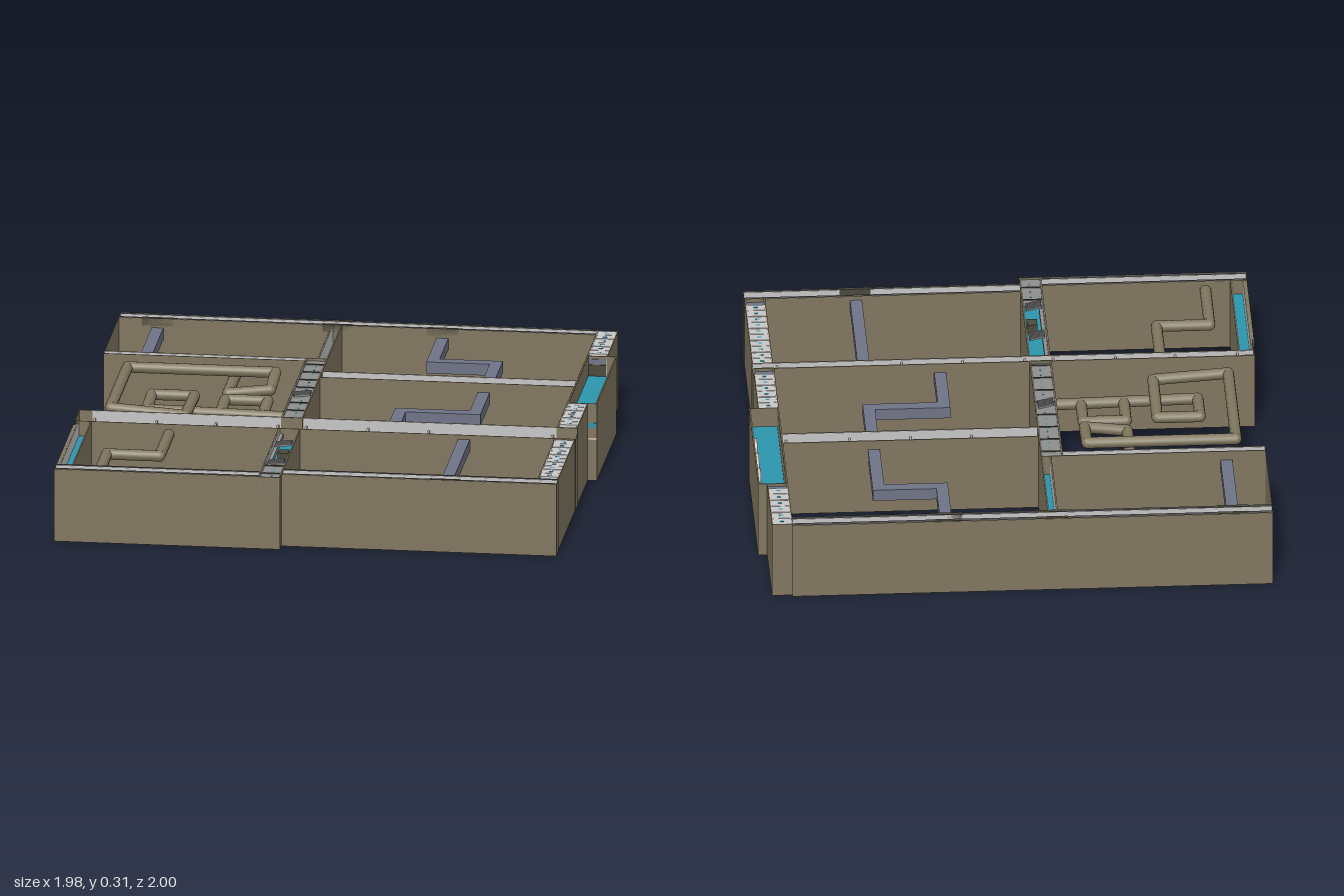
import * as THREE from 'three';

const mat = (name, color) => Object.assign(new THREE.MeshStandardMaterial({ color }), { name });

export function createModel() {
  const olive = mat('olive wall', 0x80775f);
  const dark = mat('dark trim', 0x4b483c);
  const rimGrey = mat('dark grey rim', 0x525252);
  const teal = mat('teal channel', 0x2b95ad);
  const pale = mat('pale lining', 0xc6c6c6);
  const grey = mat('grey grating', 0x8e8e8d);
  const slate = mat('slate duct', 0x6f7387);
  const pink = mat('pink divider', 0xd4b3a0);
  const root = new THREE.Group();
  root.name = 'roomBlock';

  // Box from its limits
  const box = (name, m, x0, x1, y0, y1, z0, z1, parent = root) => {
    const mesh = new THREE.Mesh(new THREE.BoxGeometry(x1 - x0, y1 - y0, z1 - z0), m);
    mesh.position.set((x0 + x1) / 2, (y0 + y1) / 2, (z0 + z1) / 2);
    mesh.name = name;
    parent.add(mesh);
    return mesh;
  };

  // Hollow wall, open below: two sheets, a teal channel floor on an olive underside, two lined rims
  const FLOOR = 0.225;
  const channel = (name, x0, x1, z0, z1, alongX, hNeg, hPos, tNeg = 0.004, tPos = 0.004, lining = pale) => {
    const g = new THREE.Group();
    g.name = name;
    root.add(g);
    const a0 = alongX ? z0 : x0, a1 = alongX ? z1 : x1;
    const across = (n, m, y0, y1, p, q) => alongX
      ? box(n, m, x0, x1, y0, y1, p, q, g) : box(n, m, p, q, y0, y1, z0, z1, g);
    across('wallSheet', olive, 0, FLOOR, a0, a0 + 0.004);
    across('wallSheet', olive, 0, FLOOR, a1 - 0.004, a1);
    across('channelUnderside', olive, FLOOR - 0.004, FLOOR, a0 + 0.004, a1 - 0.004);
    across('channelFloor', teal, FLOOR, FLOOR + 0.005, a0 + 0.004, a1 - 0.004);
    across('rim', olive, FLOOR, hNeg, a0, a0 + tNeg);
    across('rim', olive, FLOOR, hPos, a1 - tPos, a1);
    across('lining', lining, FLOOR, hNeg - 0.001, a0 + tNeg, a0 + tNeg + 0.002);
    across('lining', lining, FLOOR, hPos - 0.001, a1 - tPos - 0.002, a1 - tPos);
    if (tNeg > 0.01) across('rimCap', rimGrey, hNeg - 0.002, hNeg + 0.001, a0 + 0.002, a0 + tNeg);
    if (tPos > 0.01) across('rimCap', rimGrey, hPos - 0.002, hPos + 0.001, a1 - tPos, a1 - 0.002);
  };

  // Outer and inner walls
  channel('backWall', -0.98, 0.87, -1, -0.93, true, 0.309, 0.309, 0.018, 0.014);
  channel('leftRearWall', -0.98, -0.2, -0.492, -0.455, true, 0.31, 0.31);
  channel('rearDivider', -0.155, -0.115, -0.93, -0.49, false, 0.31, 0.31);
  channel('rightMiddleWall', -0.115, 0.87, -0.33, -0.25, true, 0.31, 0.31);
  channel('crossWall', -0.98, 0.95, 0.28, 0.365, true, 0.31, 0.29);
  channel('frontLeftWall', -0.99, -0.2, 0.93, 1, true, 0.29, 0.29, 0.012, 0.016);
  channel('frontRightWall', -0.115, 0.95, 0.885, 0.955, true, 0.289, 0.289, 0.012, 0.012);
  channel('leftFrontWall', -0.98, -0.925, 0.365, 0.93, false, 0.289, 0.289);
  box('leftFrontPlate', olive, -0.99, -0.98, 0, 0.289, 0.41, 0.93);
  box('leftRearPlate', olive, -0.981, -0.98, 0, 0.31, -1, -0.455);

  // Plates closing the wall ends
  box('leftCorner', olive, -0.984, -0.98, 0, 0.31, 0.28, 0.41);
  box('crossWallEnd', olive, 0.95, 0.952, 0, 0.287, 0.28, 0.365);
  box('frontRightEnd', olive, 0.95, 0.952, 0, 0.287, 0.885, 0.955);
  box('frontLeftEnd', olive, -0.992, -0.99, 0, 0.289, 0.93, 1);
  box('backWallEnd', olive, 0.87, 0.872, 0, 0.309, -1, -0.988);
  box('spineRearEnd', olive, -0.2, -0.115, 0, 0.31, -0.492, -0.49);
  box('spineFrontEnd', olive, -0.2, -0.115, 0, 0.29, 0.997, 1);
  for (const [x0, x1] of [[-0.98, -0.93], [-0.2, -0.115], [0.87, 0.95]])
    box('junctionPlate', olive, x0, x1, FLOOR, 0.31, 0.2855, 0.2875);

  // Pink dividers in the two cross channels
  for (const x of [0.14, 0.375, 0.61, 0.855]) box('divider', pink, x - 0.004, x + 0.004, FLOOR, 0.285, -0.325, -0.255);
  for (const x of [-0.92, -0.68, -0.45, -0.21, -0.1, 0.14, 0.375, 0.855])
    box('divider', pink, x - 0.004, x + 0.004, FLOOR, 0.28, 0.288, 0.36);

  // Central spine with gratings
  channel('spine', -0.2, -0.115, -0.49, 0.28, false, 0.31, 0.31);
  channel('spine', -0.2, -0.115, 0.365, 1, false, 0.29, 0.29);
  for (const [z0, z1, y] of [[-0.488, 0.279, 0.3], [0.78, 0.996, 0.282]]) {
    box('grating', grey, -0.196, -0.119, y - 0.006, y, z0, z1);
    for (let z = z0 + 0.05; z < z1; z += 0.1) {
      box('gratingBar', dark, -0.194, -0.121, y, y + 0.004, z - 0.002, z + 0.002);
      for (const d of [0.025, 0.07])
        if (z + d < z1) box('gratingLight', teal, -0.155, -0.15, y, y + 0.001, z + d - 0.008, z + d + 0.008);
    }
  }
  box('gratingEdge', grey, -0.196, -0.18, 0.25, 0.27, 0.37, 0.78);
  for (const [z, y] of [[-0.05, 0.3], [0.54, 0.28], [0.78, 0.28]]) for (let i = -2; i <= 2; i++) {
    const bar = box('vent', grey, -0.19, -0.125, y, y + 0.008, z + i * 0.012 - 0.003, z + i * 0.012 + 0.003);
    bar.rotation.y = 0.4;
  }
  box('valve', dark, -0.165, -0.125, 0.25, 0.285, 0.62, 0.67);

  // Right wall with rows of slats
  for (const [z0, z1, h] of [[-0.985, -0.65, 0.31], [-0.04, 0.28, 0.31], [0.365, 0.885, 0.287]]) {
    channel('rightWall', 0.87, 0.95, z0, z1, false, h, h);
    box('slatBed', dark, 0.876, 0.944, 0.23, h - 0.035, z0, z1);
    const last = z1 - 0.035;
    const n = Math.round((last - z0) / 0.05), step = (last - z0) / n;
    for (let i = 0; i < n; i++) {
      const z = z0 + i * step, mid = z + step / 2;
      box('slat', pale, 0.874, 0.946, h - 0.02, h - 0.002, z + 0.001, z + step - (i % 2 ? 0.005 : 0.002));
      box('slatLight', teal, 0.902, 0.918, h - 0.002, h - 0.001, mid - 0.004, mid + 0.004);
    }
    box('slatEnd', slate, 0.875, 0.945, h - 0.03, h - 0.012, last, z1);
  }
  box('rightWallEnd', olive, 0.87, 0.95, 0, 0.31, -0.988, -0.985);

  // Projecting bay on the right side, with a slot in its front end
  channel('rightBay', 0.87, 0.985, -0.655, -0.04, false, 0.31, 0.31, 0.004, 0.004, olive);
  box('bayEnd', olive, 0.87, 0.985, 0, 0.31, -0.657, -0.653);
  box('bayEnd', olive, 0.87, 0.985, 0, 0.31, -0.042, -0.038);
  box('baySlot', teal, 0.952, 0.984, 0.215, 0.232, -0.039, -0.036);
  box('baySlotLip', pink, 0.952, 0.984, 0.165, 0.172, -0.039, -0.036);
  for (const z of [-0.47, -0.35, -0.23]) {
    const knob = new THREE.Mesh(new THREE.CylinderGeometry(0.04, 0.04, 0.014, 16), pink);
    knob.name = 'bayKnob';
    knob.rotation.z = Math.PI / 2;
    knob.position.set(0.972, 0.235, z);
    root.add(knob);
  }

  // Square ducts, drawn leg by leg
  const duct = (pts, y = 0.25, r = 0.023) => pts.slice(1).forEach(([x, z], i) => {
    const [px, pz] = pts[i];
    box('duct', slate, Math.min(x, px) - r, Math.max(x, px) + r, y - r, y + r, Math.min(z, pz) - r, Math.max(z, pz) + r);
  });
  duct([[-0.83, -0.907], [-0.83, -0.516]]);
  duct([[0.275, -0.907], [0.275, -0.64], [0.52, -0.64], [0.52, -0.354]]);
  duct([[0.52, -0.226], [0.52, 0.015], [0.23, 0.015], [0.23, 0.256]]);
  duct([[0.52, 0.389], [0.52, 0.861]]);

  // Round pipes through points x, z with an optional height of their own
  const up = new THREE.Vector3(0, 1, 0);
  const pipe = (pts, y, r = 0.022) => {
    const g = new THREE.Group();
    g.name = 'pipe';
    root.add(g);
    const path = pts.map(([x, z, h = y]) => new THREE.Vector3(x, h, z));
    path.slice(1).forEach((p, i) => {
      const dir = p.clone().sub(path[i]);
      const leg = new THREE.Mesh(new THREE.CylinderGeometry(r, r, dir.length(), 12), olive);
      leg.name = 'pipeLeg';
      leg.position.copy(p).add(path[i]).multiplyScalar(0.5);
      leg.quaternion.setFromUnitVectors(up, dir.normalize());
      const elbow = new THREE.Mesh(new THREE.SphereGeometry(r, 12, 8), olive);
      elbow.name = 'pipeElbow';
      elbow.position.copy(p);
      g.add(leg, elbow);
    });
  };
  pipe([[-0.465, -0.46, 0.25], [-0.465, -0.19, 0.25], [-0.3, -0.19, 0.27], [-0.3, -0.355], [-0.875, -0.355],
    [-0.875, 0.18], [-0.585, 0.18, 0.27], [-0.585, -0.11, 0.26], [-0.75, -0.11, 0.26], [-0.75, 0.055, 0.25],
    [-0.21, 0.055, 0.24]], 0.29);
  pipe([[-0.465, 0.055, 0.245], [-0.465, -0.11], [-0.3, -0.11], [-0.3, 0.055, 0.24]], 0.25);
  pipe([[-0.625, 0.37], [-0.625, 0.65], [-0.83, 0.65], [-0.83, 0.93]], 0.25);

  // Dark brackets where ducts meet the walls
  for (const x of [-0.83, -0.13, 0.275]) for (const z of [-0.99, -0.938])
    box('bracket', dark, x - 0.06, x + 0.06, 0.28, 0.311, z - 0.008, z + 0.008);
  box('bracket', dark, 0.46, 0.58, 0.26, 0.291, 0.94, 0.954);
  box('bracket', dark, -0.89, -0.77, 0.26, 0.291, 0.983, 0.999);
  return root;
}
